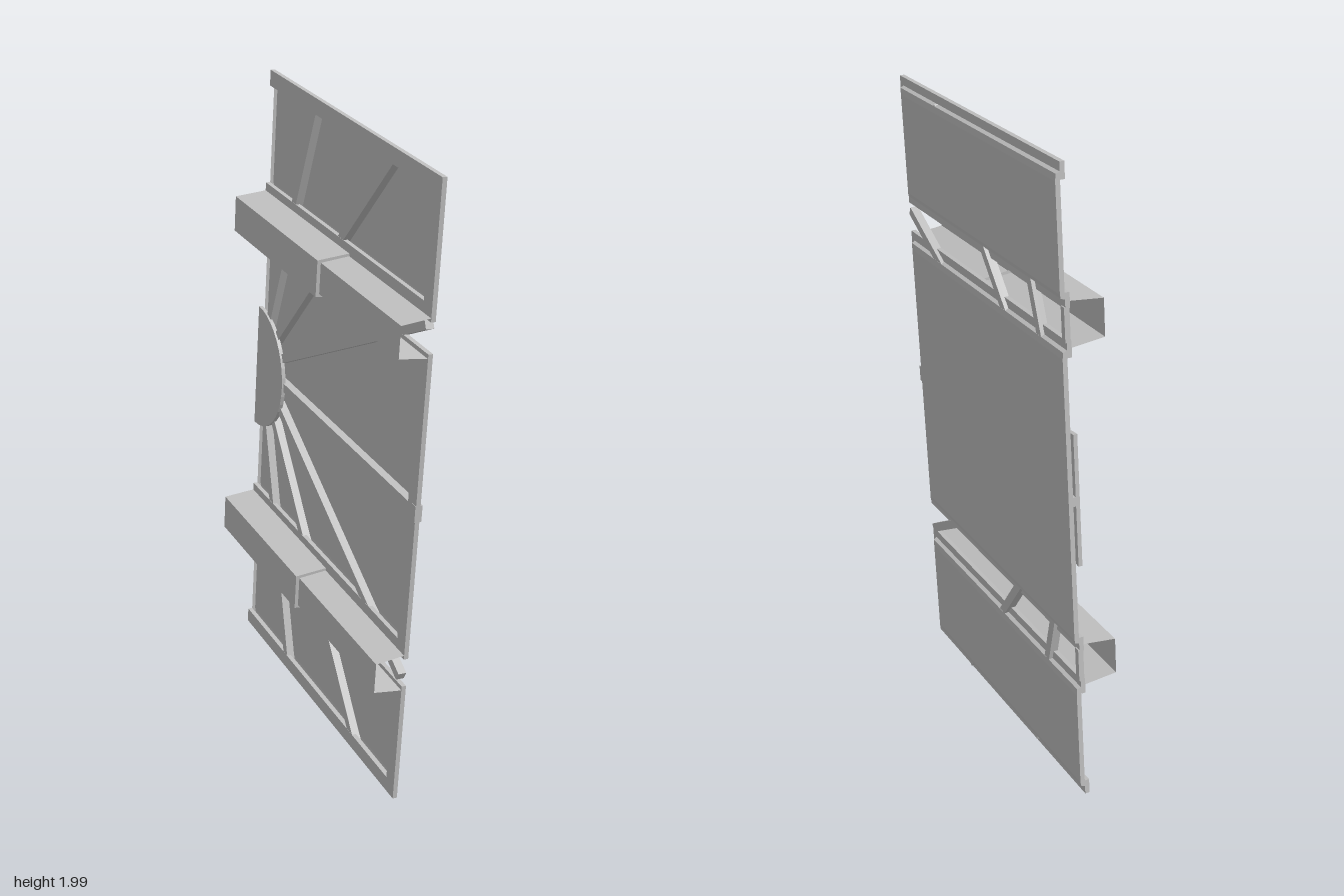
import * as THREE from 'three';

// Local axes: x = panel depth, y = panel height, z = panel width (front edge at +z)
const grey = new THREE.MeshStandardMaterial({ color: 0xc0c0c0, side: THREE.DoubleSide, flatShading: true });
grey.name = 'plain grey';

const BACK = -0.55, FRONT = 0.551;

export function createModel() {
  const model = new THREE.Group();
  model.name = 'panelWall';
  const wall = new THREE.Group();
  wall.name = 'tiltedWall';
  wall.position.set(0.043, 1.002, 0);
  wall.rotation.set(0.084, 0, -0.018);
  model.add(wall);

  function add(name, geometry) {
    const mesh = new THREE.Mesh(geometry, grey);
    mesh.name = name;
    wall.add(mesh);
    return mesh;
  }

  // Box given by its limits on each axis
  function block(name, x0, x1, y0, y1, z0, z1) {
    const mesh = add(name, new THREE.BoxGeometry(x1 - x0, y1 - y0, z1 - z0));
    mesh.position.set((x0 + x1) / 2, (y0 + y1) / 2, (z0 + z1) / 2);
  }

  // Surface through rows of points; each row has the same number of points
  function loft(name, rows, close) {
    const pos = [], n = rows[0].length;
    for (let i = 0; i < rows.length - 1; i++) {
      for (let j = 0; j < (close ? n : n - 1); j++) {
        const k = (j + 1) % n;
        const a = rows[i][j], b = rows[i][k], c = rows[i + 1][k], d = rows[i + 1][j];
        pos.push(...a, ...b, ...c, ...a, ...c, ...d);
      }
    }
    const geometry = new THREE.BufferGeometry();
    geometry.setAttribute('position', new THREE.Float32BufferAttribute(pos, 3));
    geometry.computeVertexNormals();
    return add(name, geometry);
  }

  // Bevelled skin with a frame on its top, bottom and front edges
  function panel(name, y0, y1) {
    const rect = (x, b, t, f) => [[x, b, BACK], [x, t, BACK], [x, t, f], [x, b, f]];
    loft(name + 'Bevel', [
      rect(0, y0 + 0.026, y1 - 0.026, 0.527),
      rect(0.012, y0 + 0.03, y1 - 0.03, 0.522),
      rect(0.014, y0 + 0.042, y1 - 0.05, 0.5),
    ], true);
    block(name + 'Skin', 0.011, 0.014, y0 + 0.042, y1 - 0.05, BACK, 0.5);
    block(name + 'TopFrame', -0.014, 0, y1 - 0.048, y1, BACK, FRONT);
    block(name + 'BottomFrame', -0.014, 0, y0, y0 + 0.045, BACK, FRONT);
    block(name + 'FrontFrame', -0.014, 0, y0, y1, 0.503, FRONT);
  }

  panel('upperPanel', 0.562, 0.959);
  panel('middlePanel', -0.469, 0.471);
  panel('lowerPanel', -0.946, -0.559);

  // Small catch on the front edge
  block('edgeCatch', -0.016, 0.006, -0.03, 0.02, 0.528, FRONT);

  // Hub and ribs fanning out from the middle of the back edge
  const hub = add('hub', new THREE.CylinderGeometry(0.2, 0.2, 0.012, 16, 1, false, 0, Math.PI));
  hub.rotation.z = Math.PI / 2;
  hub.rotation.y = 0;
  hub.position.set(-0.008, 0, BACK);
  hub.geometry.dispose();
  const half = new THREE.Shape();
  half.absarc(0, 0, 0.2, -Math.PI / 2, Math.PI / 2, false);
  hub.geometry = new THREE.ExtrudeGeometry(half, { depth: 0.012, bevelEnabled: false, curveSegments: 10 });
  hub.rotation.set(0, -Math.PI / 2, 0);

  block('middleRail', -0.014, 0.012, -0.014, 0.014, BACK, 0.51);
  for (const side of [1, -1]) {
    for (const degrees of [27, 48.5, 71]) {
      const angle = THREE.MathUtils.degToRad(degrees);
      const start = 0.17;
      const end = Math.min(1.07 / Math.cos(angle), 0.925 / Math.sin(angle));
      const mid = (start + end) / 2;
      const rib = add('fanRib', new THREE.BoxGeometry(0.025, 0.028, end - start));
      rib.position.set(-0.001, side * mid * Math.sin(angle), BACK + mid * Math.cos(angle));
      rib.rotation.x = -side * angle;
    }
  }

  // Flared channels behind the two gaps, deeper and wider in the rear half
  for (const y of [0.516, -0.514]) {
    const step = y > 0 ? 0.05 : 0.02;
    const section = (z, depth, rim, base) => [
      [-0.012, y + rim, z], [-depth, y + base, z], [-depth, y - base, z], [-0.012, y - rim, z],
    ];
    loft('rearChannel', [section(BACK, 0.113, 0.066, 0.055), section(step, 0.113, 0.066, 0.055),
      section(step, 0.102, 0.058, 0.047)]);
    loft('frontChannel', [section(step, 0.102, 0.058, 0.047), section(FRONT, 0.102, 0.058, 0.047)]);
    // Thin post bridging the gap at the back edge
    block('gapPost', -0.012, 0.004, y - 0.05, y + 0.05, BACK, BACK + 0.02);
  }

  return model;
}
